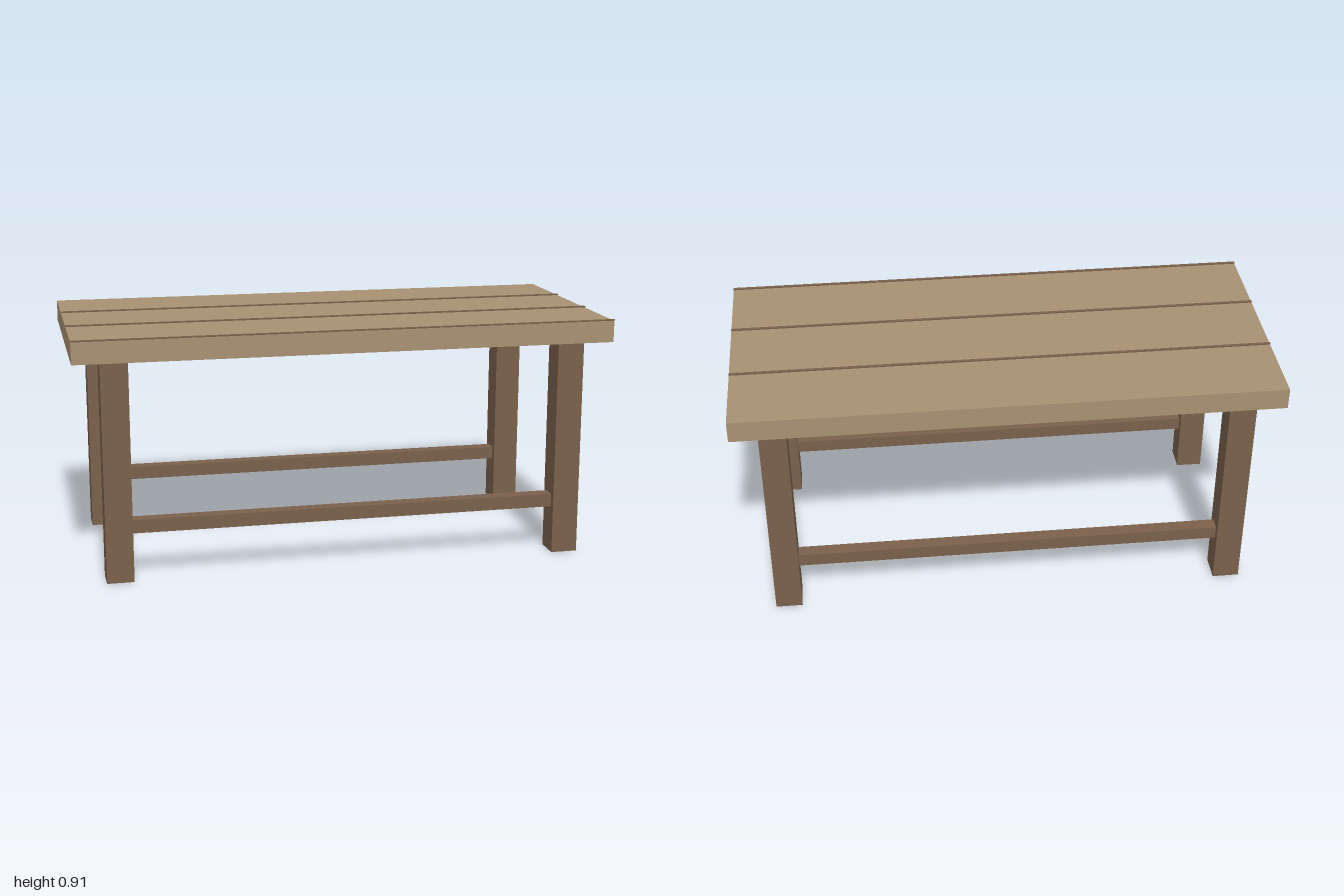
import * as THREE from 'three';

export function createModel() {
  const group = new THREE.Group();
  const lightWood = new THREE.MeshStandardMaterial({ color: 0xa89173 });
  lightWood.name = 'light wood';
  const darkWood = new THREE.MeshStandardMaterial({ color: 0x7a614c });
  darkWood.name = 'dark wood';

  function box(name, material, [w, h, d], [x, y, z]) {
    const mesh = new THREE.Mesh(new THREE.BoxGeometry(w, h, d), material);
    mesh.name = name;
    mesh.position.set(x, y, z);
    group.add(mesh);
  }

  // Small shift: the front seam overhangs the edge of the top
  const shift = -0.0025;

  box('tabletop', lightWood, [2, 0.08, 0.9], [0, 0.862, shift]);

  // Plank seams, hovering just above the top
  for (const z of [0.45, 0.15, -0.15]) {
    box('plankSeam', darkWood, [2, 0.005, 0.01], [0, 0.906, z + shift]);
  }

  // Legs, and a long stretcher between each pair
  for (const [side, z] of [['front', 0.36], ['back', -0.36]]) {
    for (const [hand, x] of [['Left', 0.85], ['Right', -0.85]]) {
      box(`${side}${hand}Leg`, darkWood, [0.1, 0.822, 0.1], [x, 0.411, z + shift]);
    }
    box(`${side}Stretcher`, darkWood, [1.6, 0.05, 0.05], [0, 0.202, z + shift]);
  }

  return group;
}
